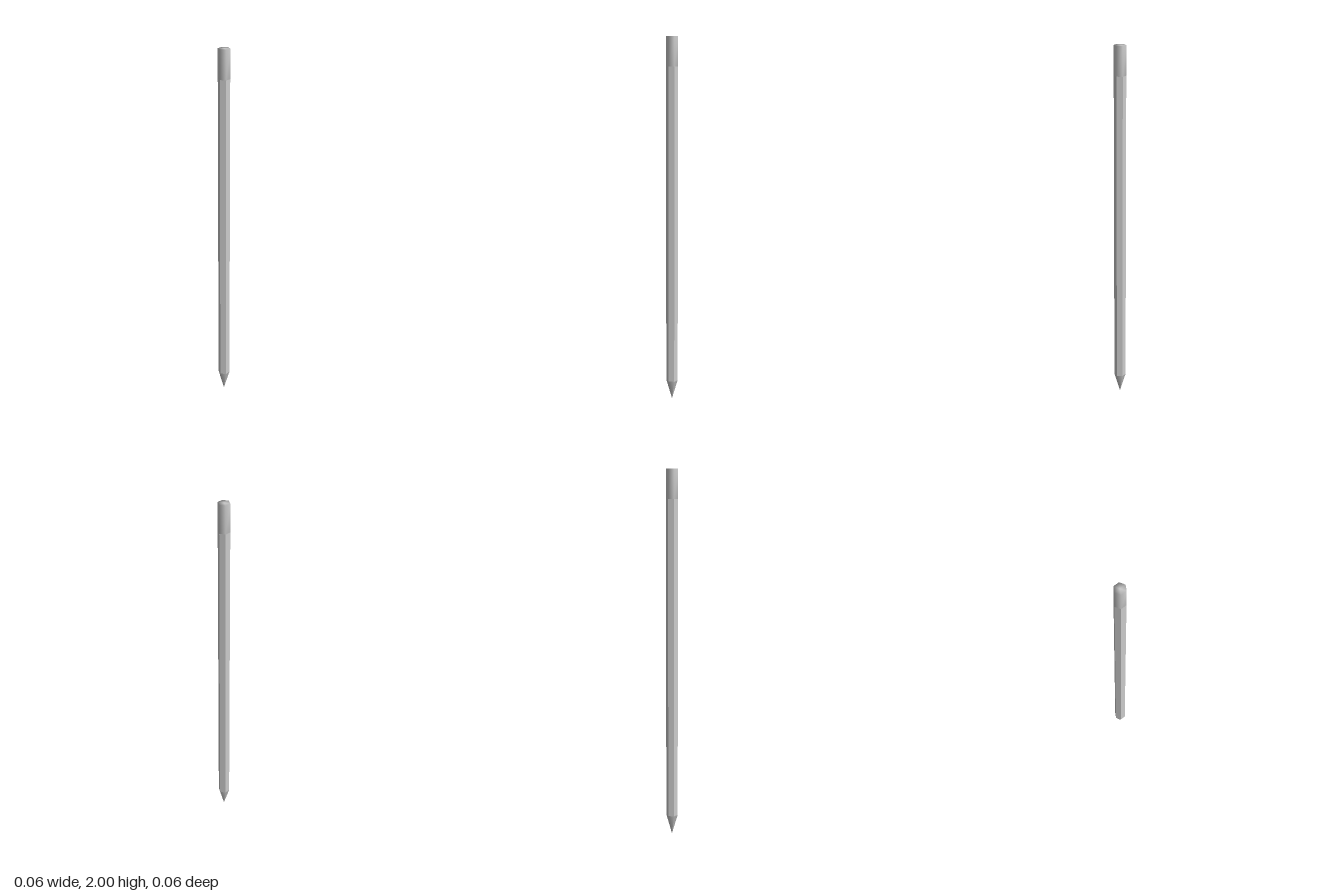
import * as THREE from 'three';
import { mergeVertices } from 'three/addons/utils/BufferGeometryUtils.js';

const RADIUS = 0.032;
const TIP_TOP = 0.11;
const BODY_TOP = 1.845;
const TOP = 2;

// Six-sided section standing between two heights
function hexSection(name, rBottom, rTop, y0, y1, { flat = false, open = true } = {}) {
  let geometry = new THREE.CylinderGeometry(rTop, rBottom, y1 - y0, 6, 1, open);
  if (!open) {
    // Share normals across the rim for a softly shaded end
    geometry.deleteAttribute('normal');
    geometry.deleteAttribute('uv');
    geometry = mergeVertices(geometry, 1e-5);
    geometry.computeVertexNormals();
  }
  const material = new THREE.MeshStandardMaterial({ color: 0xcccccc, flatShading: flat });
  if (open) material.side = THREE.DoubleSide;
  const mesh = new THREE.Mesh(geometry, material);
  mesh.name = name;
  mesh.position.y = (y0 + y1) / 2;
  return mesh;
}

export function createModel() {
  const pencil = new THREE.Group();
  pencil.name = 'pencil';
  pencil.add(
    // Sharpened point
    hexSection('tip', 0, RADIUS, 0, TIP_TOP),
    // Faceted shaft
    hexSection('shaft', RADIUS, RADIUS, TIP_TOP, BODY_TOP, { flat: true }),
    // Softly shaded end piece
    hexSection('eraser', RADIUS, RADIUS, BODY_TOP, TOP, { open: false })
  );
  return pencil;
}
